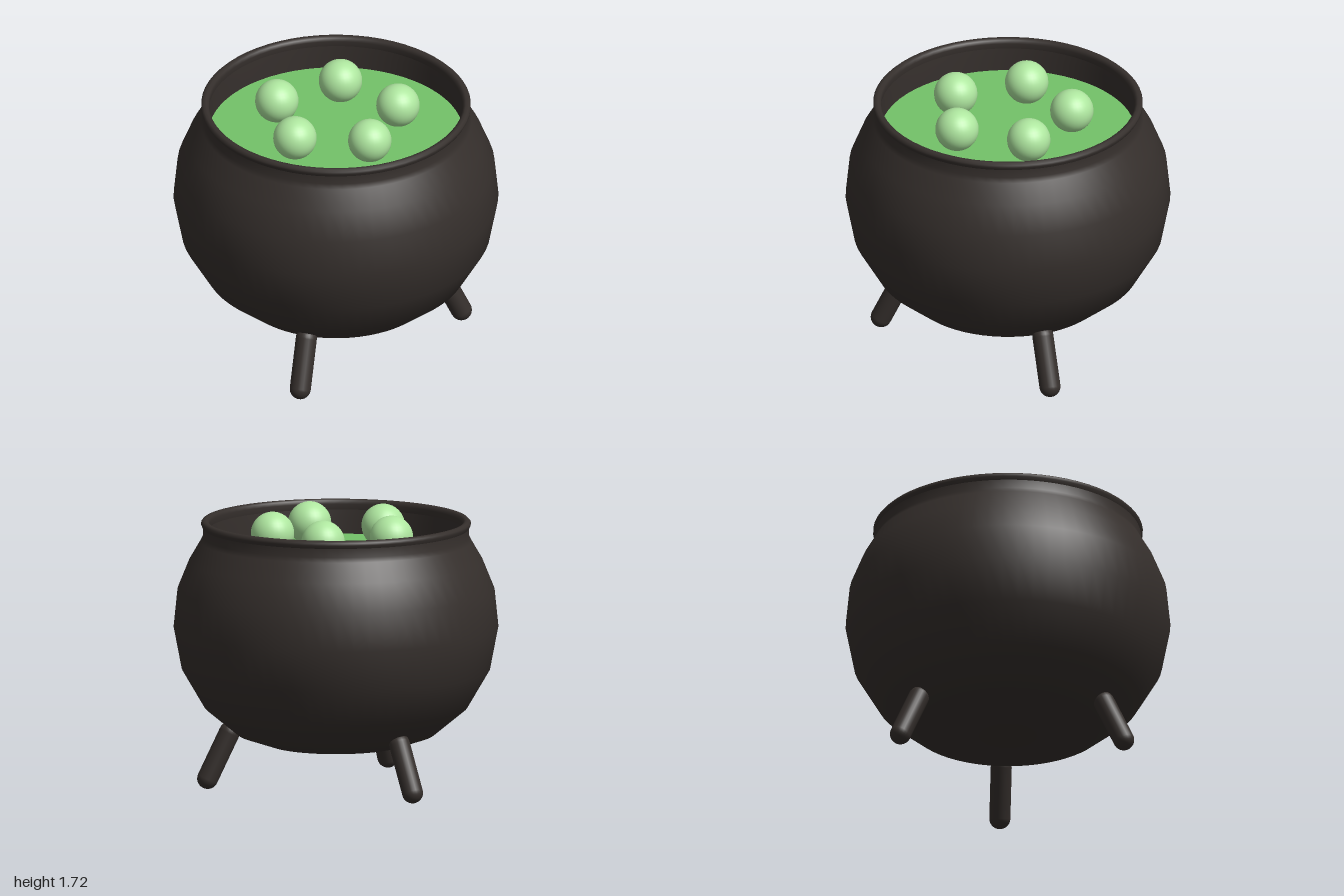
import * as THREE from 'three';

const iron = new THREE.MeshStandardMaterial({ color: 0x352f2c, side: THREE.DoubleSide });
const brew = new THREE.MeshStandardMaterial({ color: 0x74c269 });
const foam = new THREE.MeshStandardMaterial({ color: 0xaee69f });

const lathe = (pts) => new THREE.LatheGeometry(pts.map(([r, y]) => new THREE.Vector2(r, y)), 64);

export function createModel() {
  const group = new THREE.Group();
  const add = (name, geometry, material) => {
    const mesh = new THREE.Mesh(geometry, material);
    mesh.name = name;
    group.add(mesh);
    return mesh;
  };

  // Round pot with a narrowing neck
  add('potBody', lathe([
    [0, 0.255], [0.2, 0.257], [0.42, 0.27], [0.61, 0.335], [0.81, 0.5], [0.95, 0.74], [1, 1],
    [0.976, 1.235], [0.905, 1.41], [0.835, 1.53], [0.82, 1.56], [0.82, 1.62],
  ]), iron);

  // Inner wall, hidden below the brew
  add('innerWall', lathe([[0.79, 1.63], [0.785, 1.55], [0.782, 1.42]]), iron);

  // Rolled lip
  add('rim', lathe([
    [0.785, 1.6], [0.78, 1.635], [0.786, 1.655], [0.8, 1.663], [0.818, 1.662],
    [0.83, 1.65], [0.83, 1.635], [0.82, 1.615],
  ]), iron);

  // Brew surface
  const surface = add('brew', new THREE.CircleGeometry(0.785, 64), brew);
  surface.rotation.x = -Math.PI / 2;
  surface.position.y = 1.45;

  // Ring of five bubbles
  const bubble = new THREE.SphereGeometry(0.134, 32, 20);
  for (let i = 0; i < 5; i++) {
    const a = (i * 2 * Math.PI) / 5;
    add('bubble', bubble, foam).position.set(0.393 * Math.cos(a), 1.586, 0.393 * Math.sin(a));
  }

  // Three splayed legs with rounded ends
  const foot = new THREE.Vector3(0.795, 0.065, 0);
  const hip = new THREE.Vector3(0.66, 0.35, 0);
  const axis = hip.clone().sub(foot);
  const leg = new THREE.CapsuleGeometry(0.065, axis.length(), 8, 24);
  leg.applyQuaternion(new THREE.Quaternion().setFromUnitVectors(
    new THREE.Vector3(0, 1, 0), axis.clone().normalize()));
  leg.translate(...foot.clone().add(hip).multiplyScalar(0.5).toArray());
  for (let i = 0; i < 3; i++) add('leg', leg, iron).rotation.y = (i * 2 * Math.PI) / 3;

  return group;
}
